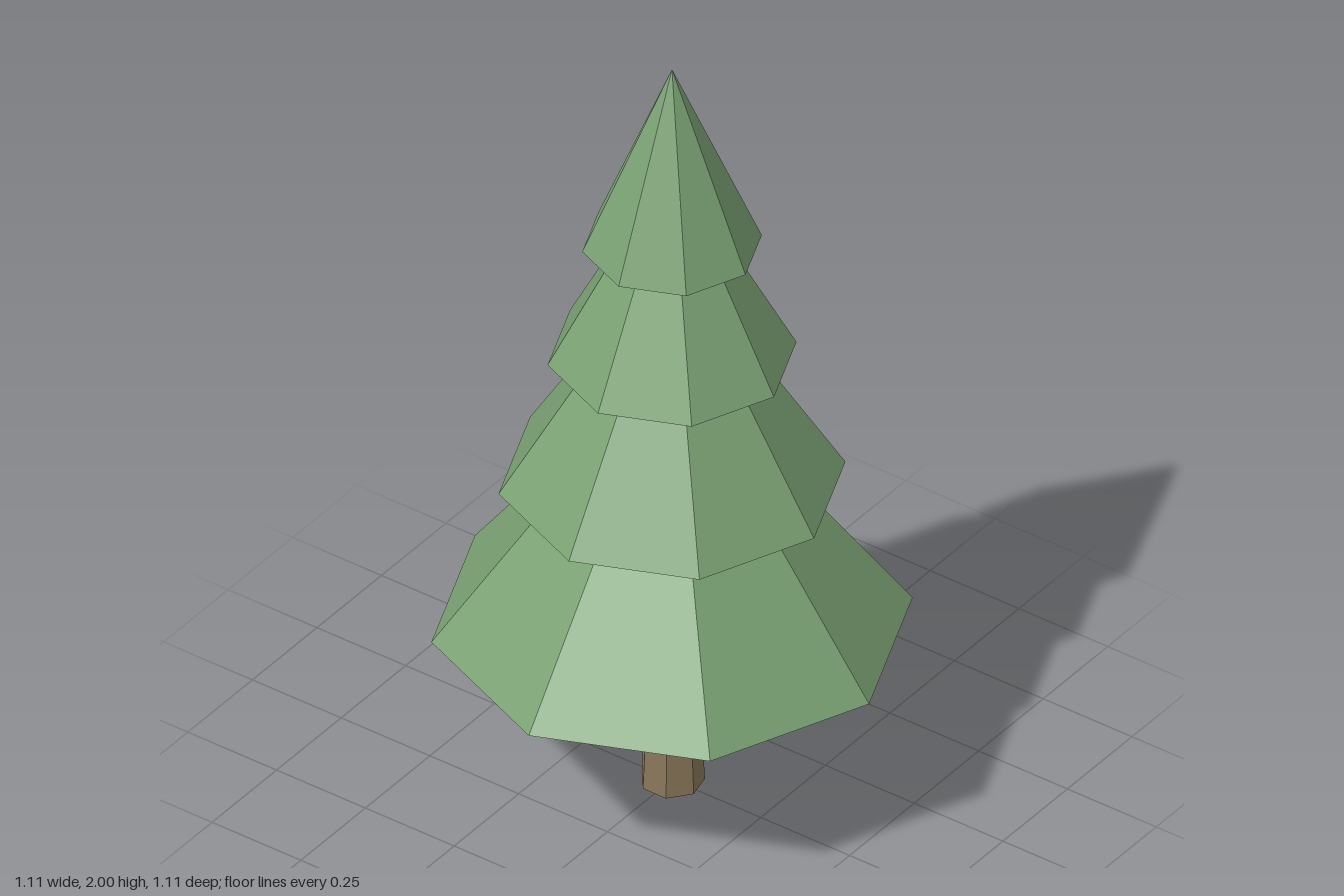
import * as THREE from 'three';

export function createModel() {
  const tree = new THREE.Group();
  tree.name = 'pineTree';

  const foliage = new THREE.MeshStandardMaterial({ color: 0x7ba274, flatShading: true });
  foliage.name = 'foliage green';
  const bark = new THREE.MeshStandardMaterial({ color: 0x8a765a, flatShading: true });
  bark.name = 'bark brown';

  // Tapered seven-sided trunk, one corner towards +x, its top hidden in the foliage
  const trunkHeight = 0.5;
  const trunk = new THREE.Mesh(
    new THREE.CylinderGeometry(0.053, 0.075, trunkHeight, 7, 1, false, Math.PI / 2), bark);
  trunk.name = 'trunk';
  trunk.position.y = trunkHeight / 2;
  tree.add(trunk);

  // Overlapping eight-sided cones, from the lowest up: radius, base height, tip height
  const tiers = [
    [0.555, 0.45, 1.19],
    [0.4, 0.85, 1.49],
    [0.287, 1.2, 1.74],
    [0.207, 1.51, 2],
  ];
  tiers.forEach(([radius, base, tip], i) => {
    const tier = new THREE.Mesh(new THREE.ConeGeometry(radius, tip - base, 8), foliage);
    tier.name = `foliageTier${i + 1}`;
    tier.position.y = (base + tip) / 2;
    tree.add(tier);
  });

  return tree;
}
